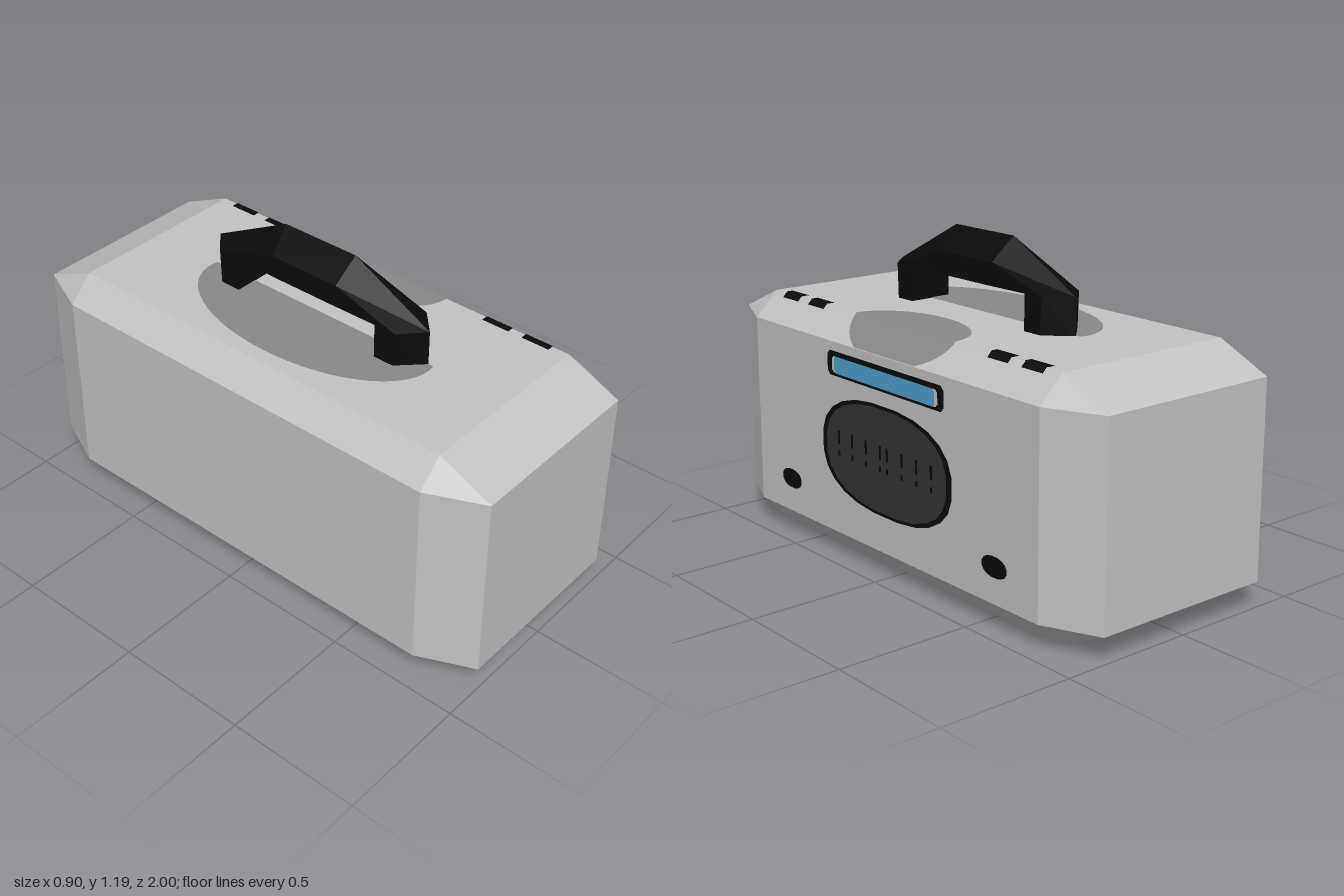
import * as THREE from 'three';
import { ConvexGeometry } from 'three/addons/geometries/ConvexGeometry.js';

const X = 0.447, XI = 0.355, Z = 1, ZI = 0.795, H = 0.895, BEVEL = 0.092;

const mat = (name, color) => {
  const m = new THREE.MeshStandardMaterial({ color });
  m.name = name;
  return m;
};

const polygon = (pts) => new THREE.Shape(pts.map(([x, y]) => new THREE.Vector2(x, y)));

const rect = (cx, cy, hw, hh) =>
  polygon([[cx - hw, cy - hh], [cx + hw, cy - hh], [cx + hw, cy + hh], [cx - hw, cy + hh]]);

// Rectangle with cut corners
const cutRect = (cx, cy, hw, hh, c) => polygon([
  [cx - hw + c, cy - hh], [cx + hw - c, cy - hh], [cx + hw, cy - hh + c], [cx + hw, cy + hh - c],
  [cx + hw - c, cy + hh], [cx - hw + c, cy + hh], [cx - hw, cy + hh - c], [cx - hw, cy - hh + c],
]);

// Squarish oval
const oval = (cx, cy, rx, ry, power, n = 24) => polygon(Array.from({ length: n }, (_, i) => {
  const a = ((i + 0.5) / n) * Math.PI * 2, c = Math.cos(a), s = Math.sin(a);
  return [cx + rx * Math.sign(c) * Math.abs(c) ** power, cy + ry * Math.sign(s) * Math.abs(s) ** power];
}));

// Part of an ellipse between two angles
const arc = (cx, rx, ry, a0, a1, n = 28) => Array.from({ length: n + 1 }, (_, i) => {
  const a = a0 + (a1 - a0) * i / n;
  return [cx + rx * Math.cos(a), ry * Math.sin(a)];
});

export function createModel() {
  const group = new THREE.Group();
  const shell = mat('light grey shell', 0xc2c4c3);
  const shade = mat('mid grey patch', 0x888a89);
  const black = mat('black trim', 0x0b0b0b);
  const dark = mat('dark grey grille', 0x343434);
  const blue = mat('blue display', 0x509fd0);

  const add = (name, geometry, material) => {
    const mesh = new THREE.Mesh(geometry, material);
    mesh.name = name;
    group.add(mesh);
  };

  // Painted face on the +x side, layered outwards
  const sidePaint = (name, shape, material, layer = 1) => {
    const g = new THREE.ShapeGeometry(shape);
    g.rotateY(Math.PI / 2);
    g.translate(X + 0.002 * layer, 0, 0);
    add(name, g, material);
  };

  // Painted face on the top, folded down over the +x bevel
  const topPaint = (name, shape, material, layer = 1) => {
    const g = new THREE.ShapeGeometry(shape);
    g.rotateX(-Math.PI / 2);
    const p = g.attributes.position;
    for (let i = 0; i < p.count; i++) {
      p.setY(i, H + 0.002 * layer - Math.max(0, p.getX(i) - XI));
    }
    g.computeVertexNormals();
    add(name, g, material);
  };

  // Bevelled case
  const corners = [];
  for (const sx of [-1, 1]) for (const sy of [-1, 1]) for (const sz of [-1, 1]) {
    const h = H / 2, hi = h - BEVEL;
    for (const [x, y, z] of [[X, hi, ZI], [XI, h, ZI], [XI, hi, Z]]) {
      corners.push(new THREE.Vector3(sx * x, h + sy * y, sz * z));
    }
  }
  add('case', new ConvexGeometry(corners), shell);

  // Carrying handle: house-shaped section swept over the arch
  // Each station gives [z, y] of the ridge, shoulders and inner edges
  const half = [
    [[0.475, 0.885], [0.39, 0.885], [0.31, 0.885]],
    [[0.475, 1.025], [0.395, 1.025], [0.31, 1.027]],
    [[0.155, 1.19], [0.14, 1.105], [0.12, 1.022]],
  ];
  const stations = [...half, ...half.slice().reverse().map((s) => s.map(([z, y]) => [-z, y]))];
  const W = 0.085, pos = [], idx = [];
  for (const [r, s, b] of stations) {
    pos.push(0, r[1], r[0], W, s[1], s[0], W, b[1], b[0], -W, b[1], b[0], -W, s[1], s[0]);
  }
  for (let i = 0; i < stations.length - 1; i++) for (let j = 0; j < 5; j++) {
    const a = i * 5 + j, b = i * 5 + (j + 1) % 5;
    idx.push(a, b, a + 5, b, b + 5, a + 5);
  }
  const arch = new THREE.BufferGeometry();
  arch.setAttribute('position', new THREE.Float32BufferAttribute(pos, 3));
  arch.setIndex(idx);
  const handle = arch.toNonIndexed();
  handle.computeVertexNormals();
  add('handle', handle, black);

  // Grey patches on the top
  topPaint('handlePatch', polygon([[0, -0.495], [0, 0.495],
    ...arc(-0.03, 0.27, 0.5, Math.PI / 2, Math.PI * 1.5)]), shade);
  topPaint('edgePatchTop', polygon(arc(XI, 0.187, 0.28, Math.PI / 2, Math.PI * 1.5)), shade);
  const a = Math.acos(BEVEL / 0.115);
  topPaint('edgePatchBevel', polygon([
    ...arc(XI, 0.115, 0.28, -Math.PI / 2, -a, 12),
    ...arc(XI, 0.115, 0.28, a, Math.PI / 2, 12)]), shade);

  // Buttons along the top edge
  for (const z of [-0.675, -0.51, 0.51, 0.675]) {
    topPaint('buttonTop', rect(0.341, z, 0.014, 0.055), black, 2);
    topPaint('buttonBevel', rect(0.364, z, 0.009, 0.05), black, 2);
  }

  // Display
  sidePaint('displayFrame', cutRect(0, 0.725, 0.33, 0.045, 0.015), black);
  sidePaint('displayPanel', cutRect(0, 0.722, 0.3, 0.03, 0.01), shell, 2);
  sidePaint('displayScreen', cutRect(0, 0.722, 0.285, 0.031, 0.01), blue, 3);

  // Speaker with slotted grille
  sidePaint('speakerRim', oval(0, 0.428, 0.372, 0.202, 0.82), black);
  sidePaint('speakerGrille', oval(0, 0.428, 0.345, 0.19, 0.82), dark, 2);
  for (const side of [-1, 1]) {
    for (const z of [0.02, 0.103, 0.185, 0.265]) {
      sidePaint('grilleSlot', rect(side * z, 0.46, 0.006, 0.025), black, 3);
      sidePaint('grilleSlot', rect(side * z, 0.4, 0.006, 0.01), black, 3);
    }
    // Lower knobs
    sidePaint('knob', oval(side * 0.585, 0.222, 0.063, 0.037, 0.9, 16), black);
  }
  return group;
}
